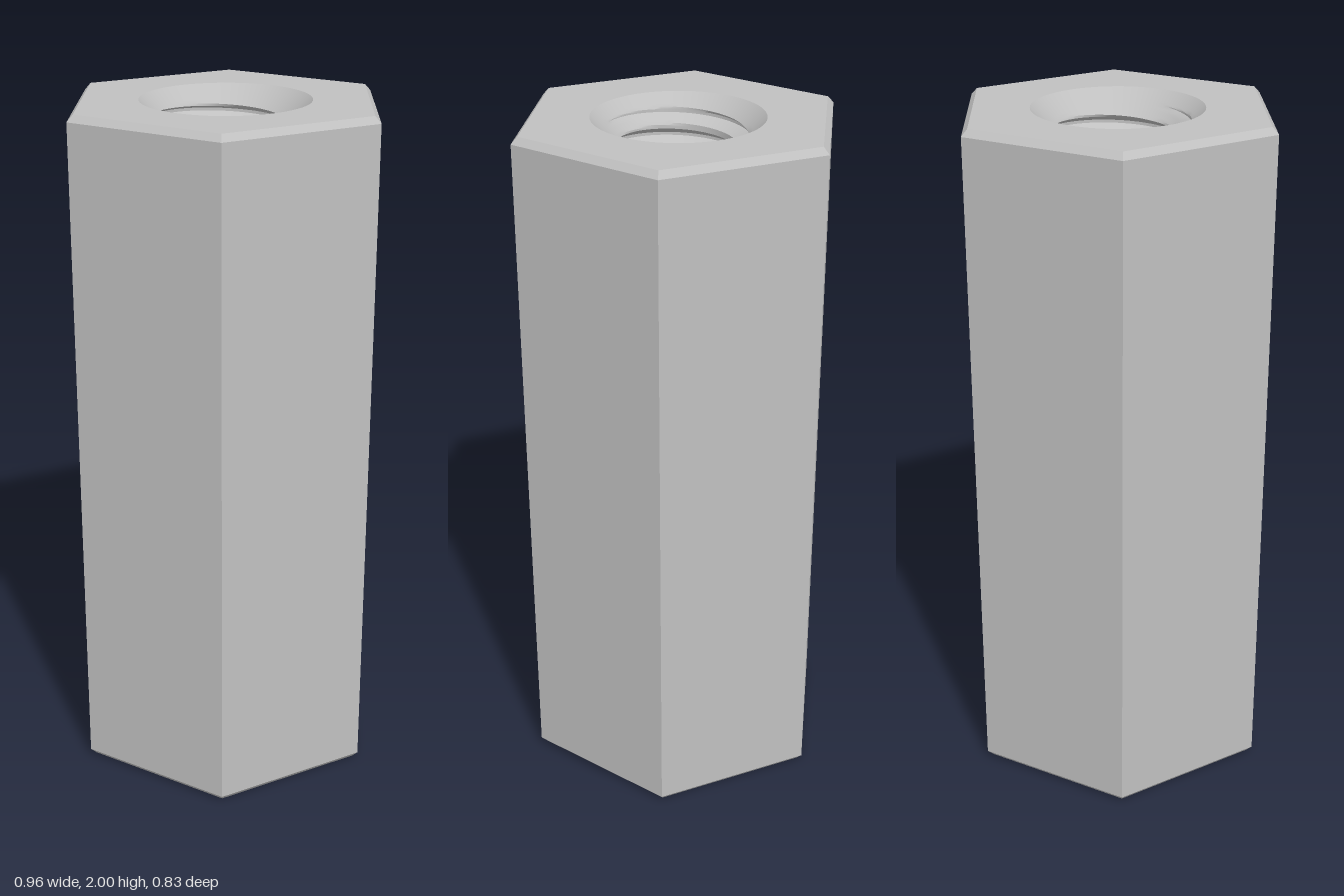
import * as THREE from 'three';
import { toCreasedNormals } from 'three/addons/utils/BufferGeometryUtils.js';

const HEIGHT = 2, HEX_R = 0.48, CHAMFER = 0.019;
const MINOR_R = 0.168, MAJOR_R = 0.205, MOUTH_R = 0.242;
const PITCH = HEIGHT / 30, SEGMENTS = 72;

// Outer hexagonal wall with chamfered ends
function hexWall() {
  const profile = [
    [HEX_R - CHAMFER, 0], [HEX_R, CHAMFER],
    [HEX_R, HEIGHT - CHAMFER], [HEX_R - CHAMFER, HEIGHT],
  ].map(([r, y]) => new THREE.Vector2(r, y));
  return toCreasedNormals(new THREE.LatheGeometry(profile, 6, Math.PI / 2), 0.3);
}

function ring(radius, count) {
  return Array.from({ length: count }, (_, i) => {
    const a = (i / count) * Math.PI * 2;
    return new THREE.Vector2(radius * Math.cos(a), radius * Math.sin(a));
  });
}

// Flat hexagonal end face with a round opening
function endFace() {
  const shape = new THREE.Shape(ring(HEX_R - CHAMFER, 6));
  shape.holes.push(new THREE.Path(ring(MOUTH_R, SEGMENTS)));
  return new THREE.ShapeGeometry(shape);
}

// Right-handed helical thread, cut by a 45 degree countersink at each end
function threadedBore() {
  const profile = [[0, MINOR_R], [0.25, MINOR_R], [0.5625, MAJOR_R], [0.6875, MAJOR_R], [1, MINOR_R]];
  const rows = [];
  for (let turn = -2; turn <= 30; turn++) {
    for (let k = 0; k < 4; k++) {
      for (let s = 0; s < 3; s++) {
        const [u0, r0] = profile[k], [u1, r1] = profile[k + 1];
        rows.push([
          (turn + 0.15 + THREE.MathUtils.lerp(u0, u1, s / 3)) * PITCH,
          THREE.MathUtils.lerp(r0, r1, s / 3),
        ]);
      }
    }
  }
  const positions = [], index = [], stride = SEGMENTS + 1;
  rows.forEach(([v, r], j) => {
    for (let i = 0; i <= SEGMENTS; i++) {
      const turn = i / SEGMENTS, a = turn * Math.PI * 2;
      const y = THREE.MathUtils.clamp(v + turn * PITCH, 0, HEIGHT);
      const radius = Math.max(r, MOUTH_R - Math.min(y, HEIGHT - y));
      positions.push(radius * Math.cos(a), y, -radius * Math.sin(a));
      if (j < rows.length - 1 && i < SEGMENTS) {
        const p = j * stride + i;
        index.push(p, p + stride, p + 1, p + 1, p + stride, p + stride + 1);
      }
    }
  });
  const geometry = new THREE.BufferGeometry();
  geometry.setAttribute('position', new THREE.Float32BufferAttribute(positions, 3));
  geometry.setIndex(index);
  return toCreasedNormals(geometry, 0.5);
}

export function createModel() {
  const group = new THREE.Group();
  group.name = 'hexCouplingNut';
  const steel = new THREE.MeshStandardMaterial({ color: 0xc0c0c0 });
  steel.name = 'steel';

  const add = (name, geometry, y = 0) => {
    const mesh = new THREE.Mesh(geometry, steel);
    mesh.name = name;
    mesh.position.y = y;
    group.add(mesh);
  };

  add('hexBody', hexWall());
  add('topFace', endFace().rotateX(-Math.PI / 2), HEIGHT);
  add('bottomFace', endFace().rotateX(Math.PI / 2));
  add('threadedBore', threadedBore());
  return group;
}
